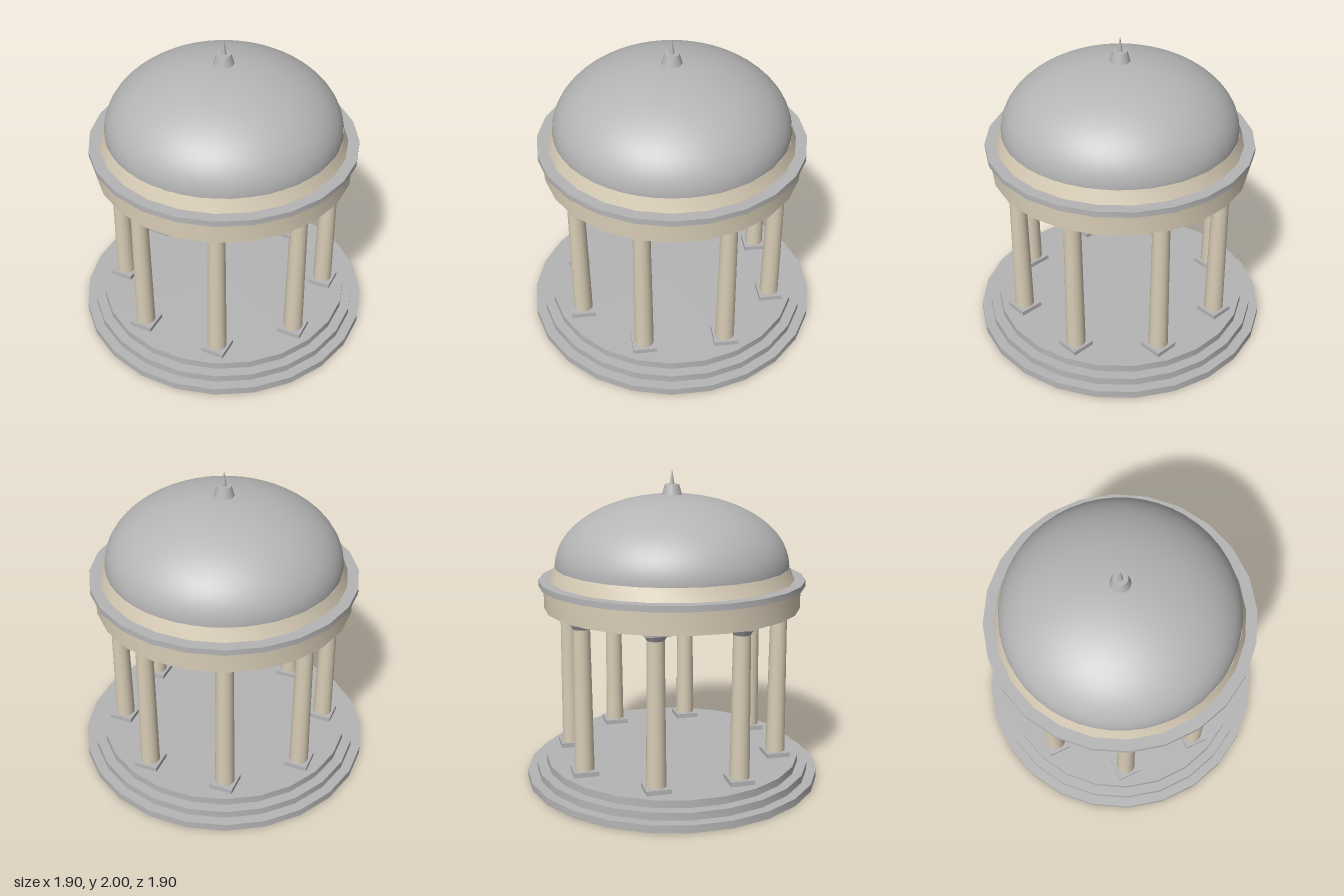
import * as THREE from 'three';
import { toCreasedNormals } from 'three/addons/utils/BufferGeometryUtils.js';

export function createModel() {
  const stone = new THREE.MeshStandardMaterial({ color: 0xb5b5b5 });
  stone.name = 'grey stone';
  const plaster = new THREE.MeshStandardMaterial({ color: 0xd8ccb6, side: THREE.DoubleSide });
  plaster.name = 'cream plaster';

  const model = new THREE.Group();
  model.name = 'rotunda';

  function add(parent, name, geometry, material, y = 0) {
    const mesh = new THREE.Mesh(geometry, material);
    mesh.name = name;
    mesh.position.y = y;
    parent.add(mesh);
  }

  // 24-sided turned part from [radius, height] points, a flat side facing front
  const SIDES = 24;
  function turned(name, profile, material) {
    const points = profile.map(([r, y]) => new THREE.Vector2(r, y));
    const geometry = new THREE.LatheGeometry(points, SIDES);
    geometry.rotateY(Math.PI / SIDES);
    add(model, name, toCreasedNormals(geometry, 0.5), material);
  }

  // Stepped base
  const steps = [[0, 0]];
  [0.957, 0.894, 0.831].forEach((r, i) => {
    steps.push([r, i * 0.049], [r, (i + 1) * 0.049]);
  });
  steps.push([0, 0.147]);
  turned('steppedBase', steps, stone);

  // Eight columns with square plinths and flared capitals
  const plinth = new THREE.BoxGeometry(0.155, 0.03, 0.155);
  const shaft = new THREE.CylinderGeometry(0.053, 0.062, 0.91, 16, 1, true);
  const flare = new THREE.CylinderGeometry(0.075, 0.053, 0.035, 16);
  const abacus = new THREE.BoxGeometry(0.155, 0.022, 0.155);
  for (let i = 0; i < 8; i++) {
    const angle = (i + 0.5) * Math.PI / 4;
    const column = new THREE.Group();
    column.name = 'column' + (i + 1);
    column.position.set(0.685 * Math.sin(angle), 0, 0.685 * Math.cos(angle));
    add(column, 'plinth', plinth, stone, 0.162);
    add(column, 'shaft', shaft, plaster, 0.631);
    add(column, 'capitalFlare', flare, stone, 1.0965);
    add(column, 'abacus', abacus, stone, 1.125);
    model.add(column);
  }

  // Thin entablature wall, open below, with a raised ceiling inside it
  turned('entablature', [[0.817, 1.136], [0.817, 1.28]], plaster);
  turned('ceiling', [[0, 1.28], [0.817, 1.28]], plaster);

  // Cornice and the sloping band under the dome
  turned('cornice', [[0.817, 1.28], [0.848, 1.28], [0.848, 1.317], [0.77, 1.317]], stone);
  turned('domeBand', [[0.778, 1.317], [0.747, 1.398], [0.72, 1.398]], plaster);

  // Flattened dome
  const dome = new THREE.SphereGeometry(1, 48, 20, 0, Math.PI * 2, 0, Math.PI / 2);
  dome.scale(0.743, 0.447, 0.743);
  add(model, 'dome', dome, stone, 1.397);

  // Finial
  add(model, 'finialBase', new THREE.CylinderGeometry(0.045, 0.065, 0.07, 16), stone, 1.87);
  add(model, 'finialSpike', new THREE.ConeGeometry(0.016, 0.095, 12), stone, 1.9525);

  return model;
}
